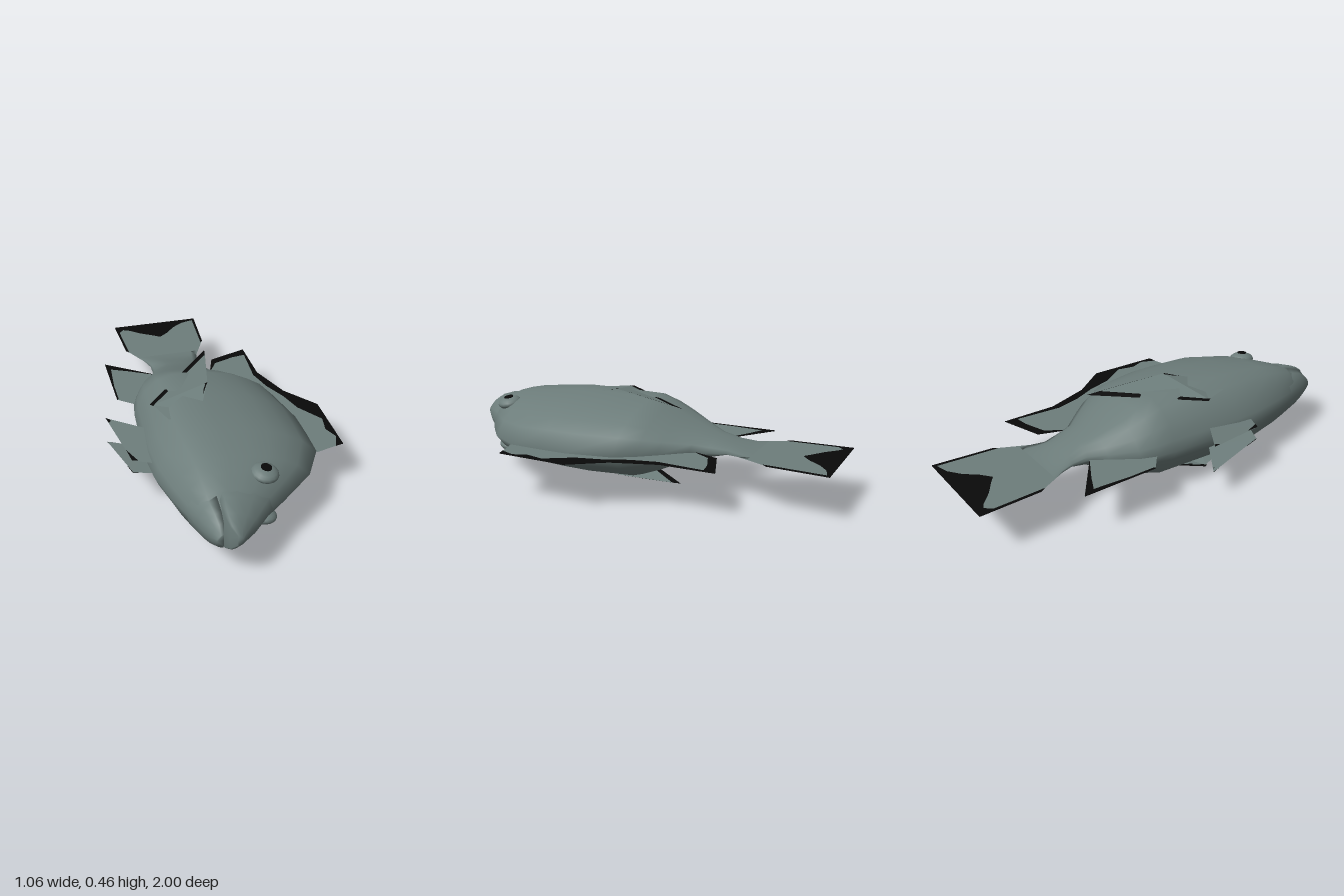
import * as THREE from 'three';

const MID = 0.228; // height of the plane of symmetry

export function createModel() {
  const model = new THREE.Group();
  const skin = new THREE.MeshStandardMaterial({ name: 'skin grey', color: 0x6d7d7b, side: THREE.DoubleSide });
  const dark = new THREE.MeshStandardMaterial({ name: 'fin black', color: 0x090909, side: THREE.DoubleSide });

  const add = (name, geometry, material) => {
    const mesh = new THREE.Mesh(geometry, material);
    mesh.name = name;
    model.add(mesh);
    return mesh;
  };

  // Skin through stations [z, low x, high x, half thickness], listed front to back.
  // The profile gives [share of the width, share of the half thickness].
  function loft(stations, profile) {
    const ring = [...profile.map(([u, h]) => [u, h]), ...profile.slice(1, -1).reverse().map(([u, h]) => [u, -h])];
    const n = ring.length, pos = [], idx = [];
    for (const [z, lo, hi, t] of stations) {
      for (const [u, h] of ring) pos.push(lo + (hi - lo) * u, MID + h * t, z);
    }
    for (let i = 0; i < stations.length - 1; i++) {
      for (let j = 0; j < n; j++) {
        const a = i * n + j, b = i * n + (j + 1) % n;
        idx.push(a, b, a + n, b, b + n, a + n);
      }
    }
    for (let j = 1; j < n - 1; j++) idx.push(0, j + 1, j); // front cap
    const g = new THREE.BufferGeometry();
    g.setAttribute('position', new THREE.Float32BufferAttribute(pos, 3));
    g.setIndex(idx);
    g.computeVertexNormals();
    return g;
  }

  // Body, lying on its side: back towards +x, belly towards -x
  const bodyProfile = [[0, 0], [0.026, 0.25], [0.077, 0.62], [0.17, 0.9], [0.27, 1], [0.4, 0.98],
    [0.55, 0.9], [0.69, 0.78], [0.8, 0.6], [0.9, 0.38], [1, 0]];
  add('body', loft([
    [0.91, -0.24, -0.12, 0.03], [0.88, -0.275, -0.03, 0.09], [0.82, -0.305, 0.075, 0.125],
    [0.74, -0.33, 0.18, 0.15], [0.66, -0.355, 0.275, 0.168], [0.5, -0.39, 0.37, 0.188],
    [0.35, -0.4, 0.378, 0.2], [0.2, -0.392, 0.38, 0.202], [-0.03, -0.375, 0.34, 0.198],
    [-0.12, -0.36, 0.285, 0.165], [-0.2, -0.33, 0.22, 0.128], [-0.32, -0.25, 0.115, 0.078],
    [-0.4, -0.2, 0.085, 0.052], [-0.48, -0.198, 0.06, 0.028], [-0.55, -0.218, 0.075, 0.008],
    [-0.6, -0.24, 0.09, 0.001],
  ], bodyProfile), skin);

  // Jaws, flat on the sides that face each other
  add('upperJaw', loft([
    [1.0, -0.16, -0.135, 0.025], [0.975, -0.185, -0.105, 0.06], [0.93, -0.198, -0.05, 0.092],
    [0.86, -0.2, 0.02, 0.115], [0.78, -0.2, 0.1, 0.125],
  ], [[0, 0], [0.02, 0.9], [0.1, 1], [0.35, 0.93], [0.65, 0.72], [0.9, 0.38], [1, 0]]), skin);
  add('lowerJaw', loft([
    [0.98, -0.242, -0.212, 0.03], [0.95, -0.257, -0.203, 0.065], [0.91, -0.275, -0.2, 0.09],
    [0.86, -0.292, -0.2, 0.11], [0.78, -0.315, -0.2, 0.125],
  ], [[0, 0], [0.08, 0.35], [0.3, 0.68], [0.6, 0.88], [0.96, 1], [1, 0]]), skin);

  // Flat fins on the symmetry plane, from [x, z] outlines
  const outline = pts => new THREE.Shape(pts.map(([x, z]) => new THREE.Vector2(x, -z)));
  function flatFin(name, pts, edge) {
    const g = new THREE.ShapeGeometry(outline(pts));
    g.rotateX(-Math.PI / 2).translate(0, MID, 0);
    add(name, g, skin);
    const e = new THREE.ExtrudeGeometry(outline(edge), { depth: 0.004, bevelEnabled: false });
    e.rotateX(-Math.PI / 2).translate(0, MID - 0.002, 0);
    add(name + 'Edge', e, dark);
  }
  flatFin('tailFin',
    [[0.06, -0.48], [0.075, -0.55], [0.15, -0.71], [0.175, -1], [-0.3, -1], [-0.29, -0.7], [-0.218, -0.55], [-0.198, -0.48]],
    [[0.175, -1], [-0.302, -1], [-0.292, -0.7], [-0.28, -0.68], [-0.288, -0.93], [-0.26, -0.96], [-0.23, -0.945],
      [-0.17, -0.89], [-0.11, -0.85], [-0.07, -0.82], [-0.02, -0.86], [0.03, -0.92], [0.09, -0.965], [0.16, -0.985],
      [0.137, -0.69], [0.15, -0.71]]);
  flatFin('dorsalFin',
    [[0.05, -0.25], [0.095, -0.34], [0.14, -0.47], [0.34, -0.54], [0.335, -0.27], [0.405, -0.05], [0.525, 0.12],
      [0.51, 0.475], [0.37, 0.51], [0.3, 0.4], [0.25, 0]],
    [[0.095, -0.34], [0.14, -0.47], [0.342, -0.54], [0.337, -0.27], [0.407, -0.05], [0.527, 0.12], [0.512, 0.475],
      [0.475, 0.483], [0.505, 0.41], [0.48, 0.34], [0.5, 0.25], [0.42, 0.12], [0.39, 0.0], [0.34, -0.12],
      [0.31, -0.25], [0.33, -0.48], [0.26, -0.47], [0.15, -0.43]]);
  flatFin('analFin',
    [[-0.3, 0], [-0.36, -0.13], [-0.43, -0.19], [-0.43, -0.57], [-0.2, -0.395], [-0.15, -0.3]],
    [[-0.2, -0.395], [-0.432, -0.57], [-0.432, -0.19], [-0.424, -0.2], [-0.424, -0.33], [-0.41, -0.51], [-0.33, -0.47]]);

  // Bent fin from corner points and triangles, mirrored to both flanks
  function sideFin(name, points, faces, material, side) {
    const pos = faces.flatMap(f => f.flatMap(i => {
      const [x, y, z] = points[i];
      return [x, MID + side * (y - MID), z];
    }));
    const g = new THREE.BufferGeometry();
    g.setAttribute('position', new THREE.Float32BufferAttribute(pos, 3));
    // keep the faces turned outwards on both flanks
    if (side < 0) for (let i = 0; i < pos.length; i += 9) {
      for (let k = 0; k < 3; k++) {
        const a = g.attributes.position.array, t = a[i + k];
        a[i + k] = a[i + 3 + k];
        a[i + 3 + k] = t;
      }
    }
    g.computeVertexNormals();
    add(name, g, material);
  }

  for (const side of [1, -1]) {
    const label = side > 0 ? 'Upper' : 'Lower';

    // Pectoral fin with a black trailing edge
    sideFin('pectoralFin' + label, [
      [-0.28, 0.405, 0.33], [-0.13, 0.41, 0.31], [-0.05, 0.455, 0.14], [0.03, 0.422, -0.2], [-0.325, 0.411, 0.2],
    ], [[0, 1, 4], [1, 2, 4], [2, 3, 4]], skin, side);
    sideFin('pectoralFinEdge' + label, [
      [-0.338, 0.41, 0.19], [-0.325, 0.412, 0.21], [0.025, 0.424, -0.185], [0.04, 0.416, -0.25],
      [-0.05, 0.457, 0.14], [-0.09, 0.437, 0.21], [-0.065, 0.452, 0.14],
    ], [[0, 1, 2], [0, 2, 3], [4, 6, 5], [2, 4, 3]], dark, side);

    // Pelvic fin under the belly
    sideFin('pelvicFin' + label, [
      [-0.53, 0.295, 0.07], [-0.465, 0.26, 0.395], [-0.36, 0.255, 0.44], [-0.35, 0.28, 0.19],
    ], [[0, 1, 3], [1, 2, 3]], skin, side);
    sideFin('pelvicFinEdge' + label, [
      [-0.531, 0.297, 0.07], [-0.505, 0.292, 0.09], [-0.521, 0.292, 0.11],
      [-0.48, 0.271, 0.32], [-0.44, 0.262, 0.405], [-0.467, 0.262, 0.395],
    ], [[0, 2, 1], [3, 5, 4]], dark, side);

    // Eye: a low dome on the cheek with a black pupil disc
    const eye = new THREE.Group();
    eye.name = 'eye' + label;
    const ball = new THREE.Mesh(new THREE.SphereGeometry(0.062, 16, 10), skin);
    ball.name = 'eyeball';
    ball.scale.y = 0.5;
    const pupil = new THREE.Mesh(new THREE.CylinderGeometry(0.024, 0.024, 0.006, 12), dark);
    pupil.name = 'pupil';
    pupil.position.y = 0.03;
    eye.add(ball, pupil);
    eye.position.set(0.035, MID + side * 0.113, 0.74);
    eye.rotation.set(side > 0 ? 0.12 : Math.PI - 0.12, 0, side * -0.15);
    model.add(eye);
  }

  return model;
}
